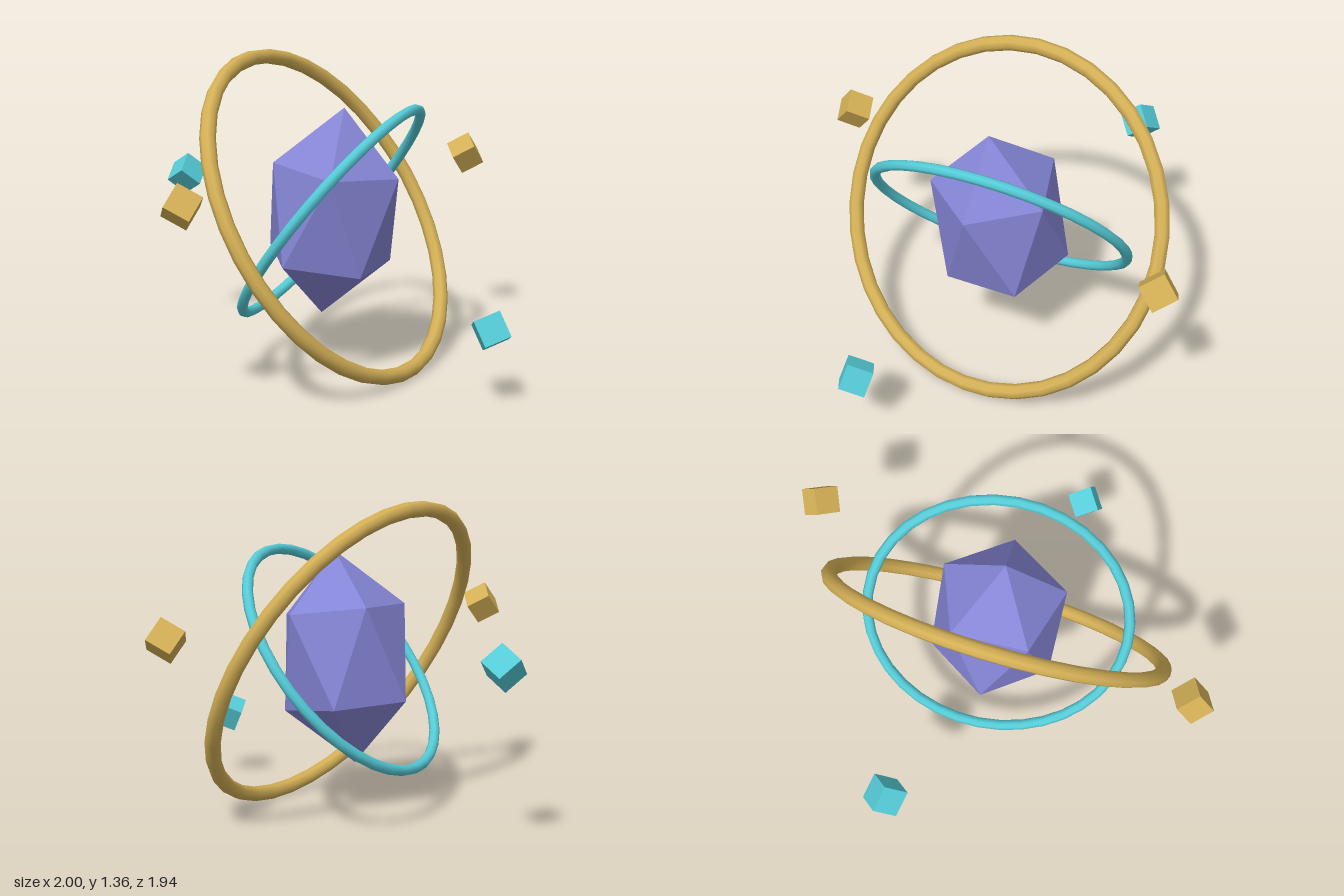
import * as THREE from 'three';
import { ConvexGeometry } from 'three/addons/geometries/ConvexGeometry.js';

const flat = (name, color) => {
  const m = new THREE.MeshStandardMaterial({ color, flatShading: true });
  m.name = name;
  return m;
};
const smooth = (name, color) => {
  const m = new THREE.MeshStandardMaterial({ color });
  m.name = name;
  return m;
};

export function createModel() {
  const group = new THREE.Group();
  const violet = flat('violet crystal', 0x8585d6);
  const gold = smooth('gold', 0xd4b056);
  const cyan = smooth('cyan', 0x55ccd8);
  const centre = new THREE.Vector3(0, 0.684, 0.036);

  const add = (name, geometry, material, position, rotation) => {
    const mesh = new THREE.Mesh(geometry, material);
    mesh.name = name;
    mesh.position.copy(position);
    mesh.rotation.set(...rotation);
    group.add(mesh);
  };

  // Crystal: stretched icosahedron, two poles and two staggered rings of five
  const points = [new THREE.Vector3(0, 0.46, 0), new THREE.Vector3(0, -0.46, 0)];
  for (let i = 0; i < 5; i++) {
    const a = 0.3 + (i * Math.PI * 2) / 5;
    const p = new THREE.Vector3(0.28 * Math.sin(a), 0.206, 0.28 * Math.cos(a));
    points.push(p, p.clone().negate());
  }
  add('crystal', new ConvexGeometry(points), violet, centre, [0.141, 0, 0]);

  // Tilted orbit rings
  add('outerRing', new THREE.TorusGeometry(0.749, 0.033, 8, 36), gold, centre, [-0.53, 0.17, 0]);
  add('innerRing', new THREE.TorusGeometry(0.57, 0.023, 8, 36), cyan, centre, [0.69, 0.294, 0]);

  // Floating cubes, each standing on an edge and tipped over
  const cube = new THREE.BoxGeometry(0.112, 0.112, 0.112);
  cube.rotateY(Math.PI / 4);
  for (const side of [-1, 1]) {
    add(side < 0 ? 'rightCube' : 'leftCube', cube, gold,
      new THREE.Vector3(side * 0.903, 0.842, 0.073), [0, 0, side * 0.74]);
  }
  add('frontCube', cube, cyan, new THREE.Vector3(0, 0.317, 0.872), [-0.55, 0, 0]);
  add('backCube', cube, cyan, new THREE.Vector3(0, 0.752, -0.88), [1.06, 0, 0]);

  return group;
}
